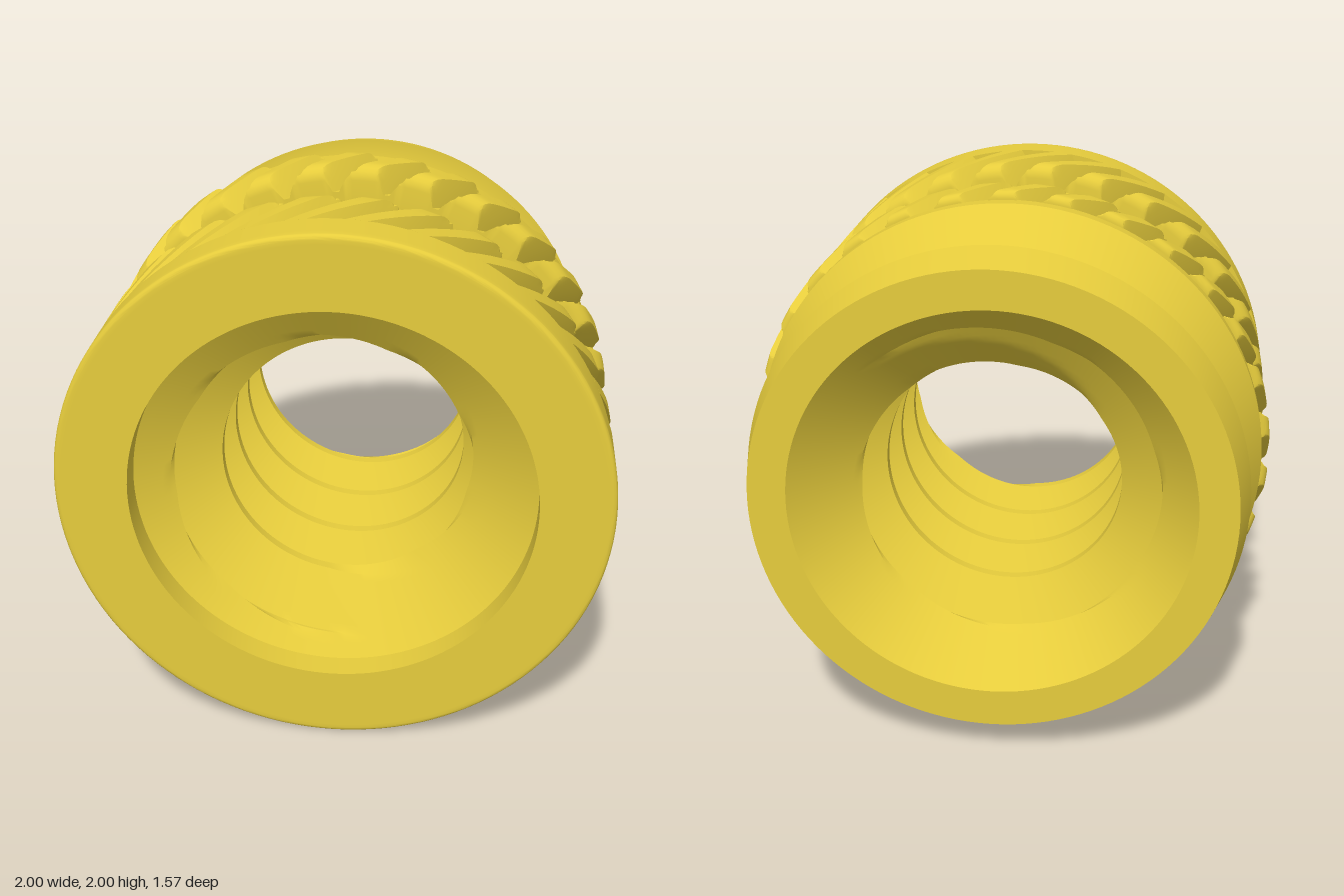
import * as THREE from 'three';
import { toCreasedNormals } from 'three/addons/utils/BufferGeometryUtils.js';

const HALF = 0.785; // half the length along z
const RECESS = 0.1; // depth of the straight recess at the front
const TAU = Math.PI * 2;

// Grid surface: point(i, j) returns [radius, angle, z]
function gridSurface(cols, rows, point) {
  const pos = [], idx = [];
  for (let i = 0; i <= cols; i++) {
    for (let j = 0; j < rows; j++) {
      const [r, a, z] = point(i, j);
      pos.push(r * Math.cos(a), r * Math.sin(a), z);
      if (i < cols && j < rows - 1) {
        const p = i * rows + j, q = p + rows;
        idx.push(p, q, p + 1, q, q + 1, p + 1);
      }
    }
  }
  const g = new THREE.BufferGeometry();
  g.setAttribute('position', new THREE.Float32BufferAttribute(pos, 3));
  g.setIndex(idx);
  return toCreasedNormals(g, 0.55);
}

// Turned shell, from the back rim over the outside to the front recess
function bodyGeometry() {
  const profile = [
    [0.73, -HALF], [0.87, -HALF], [0.912, -0.622], [0.845, -0.622], [0.836, -0.619], [0.833, -0.61],
    [0.833, -0.46], [0.965, -0.225], [0.965, -0.165], [0.855, -0.165],
    [0.855, 0.62], [0.998, 0.62], [0.998, 0.74],
  ];
  // Rounded front edge
  for (let k = 0; k <= 5; k++) {
    const a = (k / 5) * Math.PI / 2;
    profile.push([0.98 + 0.018 * Math.cos(a), HALF - 0.018 + 0.018 * Math.sin(a)]);
  }
  profile.push([0.965, HALF], [0.73, HALF], [0.73, HALF - RECESS]);
  const g = new THREE.LatheGeometry(profile.map(([r, z]) => new THREE.Vector2(r, z)), 128);
  g.rotateX(Math.PI / 2);
  return toCreasedNormals(g, 0.45);
}

// Band of slanted teeth; f0 and f1 round its back and front ends
function knurlGeometry(z0, z1, f0, f1) {
  const teeth = 30, slant = 1.0, depth = 0.1, arc = 5;
  const top = 0.36, flank = 0.26, floor = 0.12;
  const steps = [0, 0.12, 0.24];
  for (let k = 0; k < 4; k++) steps.push(top + flank * k / 4);
  for (let k = 0; k < 4; k++) steps.push(top + flank + floor + flank * k / 4);
  steps.splice(7, 0, top + flank);
  const center = top + flank + floor / 2;

  // Rounded end as [distance from the end face, radius], from the face inwards
  const roundedEnd = (f) => Array.from({ length: arc + 1 }, (_, k) => {
    const a = (k / arc) * Math.PI / 2;
    return [f * (1 - Math.cos(a)), 1 - f * (1 - Math.sin(a))];
  });
  const end = (f) => [[0, 0.84], ...(f ? roundedEnd(f) : [[0, 1]])];
  const rows = end(f0).map(([d, r]) => [z0 + d, r]);
  for (let k = 1; k < 5; k++) rows.push([z0 + f0 + (z1 - z0 - f0 - f1) * k / 5, 1]);
  rows.push(...end(f1).reverse().map(([d, r]) => [z1 - d, r]));

  const n = steps.length;
  return gridSurface(teeth * n, rows.length, (i, j) => {
    const [z, limit] = rows[j];
    const u = steps[i % n];
    const rise = Math.max(0, Math.abs(u - center) - floor / 2) / flank;
    const groove = u < top ? 0 : depth * (1 - rise);
    const angle = ((Math.floor(i / n) + u) / teeth) * TAU + slant * z;
    return [Math.min(limit, 1 - groove) * 0.998, angle, z];
  });
}

// Threaded hole, opened by a wide cone at the front and a 45 degree cone at the back
function boreGeometry() {
  const pitch = 0.29, crest = 0.45, root = 0.65, cols = 128;
  const thread = (v) => crest + (root - crest) * Math.max(0, Math.min(1, v / 0.42, (0.87 - v) / 0.42));
  const stations = [];
  for (let k = -2; k < 7; k++) {
    for (let s = 0; s <= 8; s++) stations.push(k + 0.42 * s / 8);
    for (let s = 0; s <= 8; s++) stations.push(k + 0.45 + 0.42 * s / 8);
  }
  stations.reverse();
  return gridSurface(cols, stations.length, (i, j) => {
    const t = i / cols;
    const start = 0.03 + pitch * t;
    const d = Math.max(RECESS, Math.min(2 * HALF, start + pitch * stations[j]));
    const v = (d - start) / pitch;
    const r = Math.max(
      thread(v - Math.floor(v + 1e-6)),
      0.73 - 1.5 * (d - RECESS),
      0.73 - (2 * HALF - d),
    );
    return [r, -Math.PI / 2 - TAU * t, HALF - d];
  });
}

export function createModel() {
  const brass = new THREE.MeshStandardMaterial({ color: 0xe6cc3c });
  brass.name = 'brass';
  const model = new THREE.Group();
  model.name = 'threadedInsert';
  const add = (name, geometry) => {
    const mesh = new THREE.Mesh(geometry, brass);
    mesh.name = name;
    mesh.position.y = 1;
    model.add(mesh);
  };
  add('body', bodyGeometry());
  add('frontKnurl', knurlGeometry(0.33, 0.62, 0.055, 0));
  add('middleKnurl', knurlGeometry(-0.17, 0.03, 0.03, 0.055));
  add('threadedBore', boreGeometry());
  return model;
}
